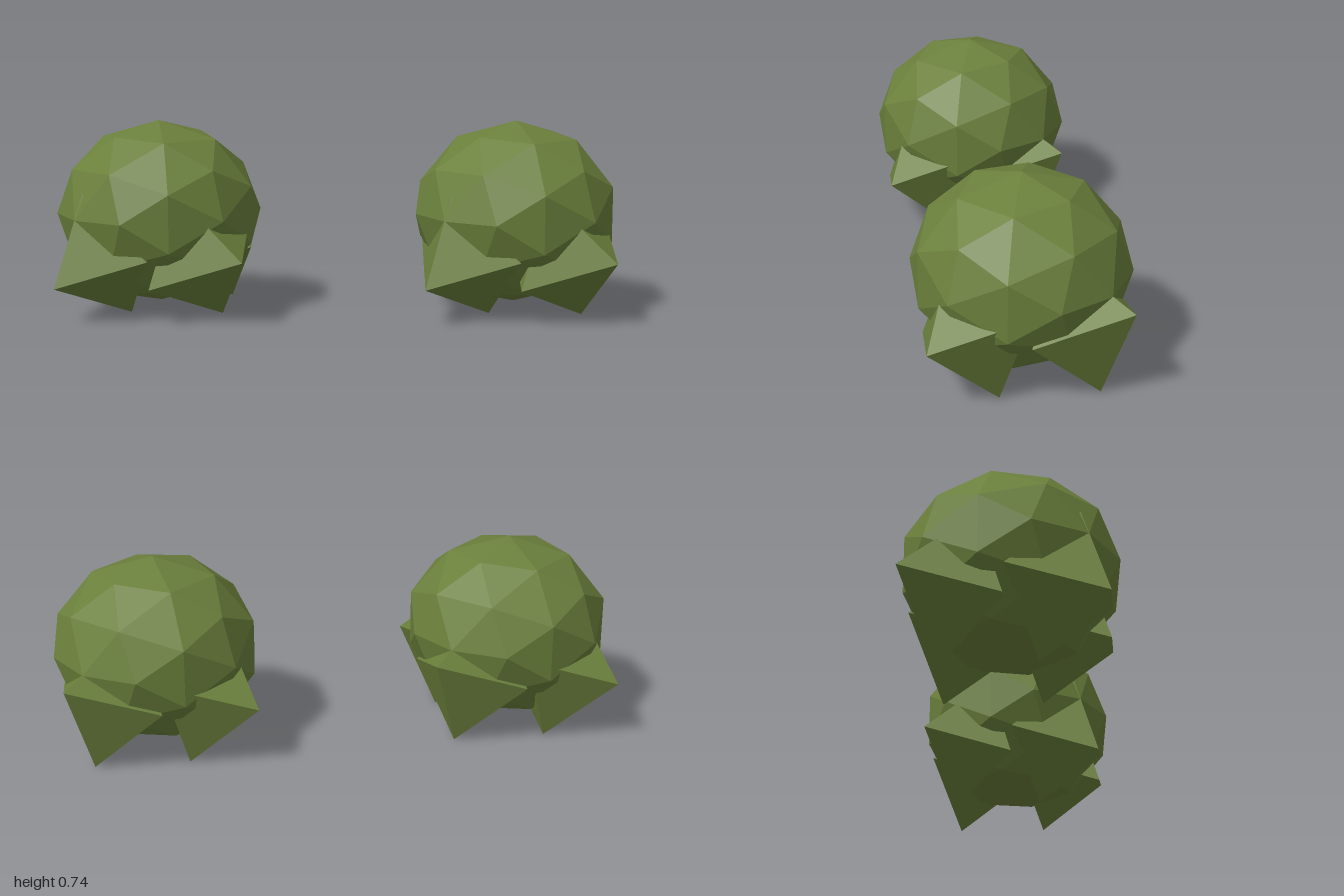
import * as THREE from 'three';

const leafGreen = new THREE.MeshStandardMaterial({ color: 0x6b803c, flatShading: true });
leafGreen.name = 'leafGreen';

// Faceted round crown and the pointed leaf clump used around its base
const crownGeometry = new THREE.IcosahedronGeometry(1, 1).scale(0.395, 0.355, 0.4);
const clumpGeometry = new THREE.OctahedronGeometry(1, 0)
  .rotateZ(THREE.MathUtils.degToRad(23.9))
  .scale(0.265, 0.265, 0.255);

function part(name, geometry, x, y, z) {
  const mesh = new THREE.Mesh(geometry, leafGreen);
  mesh.name = name;
  mesh.position.set(x, y, z);
  return mesh;
}

function createBush(name, x, z) {
  const bush = new THREE.Group();
  bush.name = name;
  bush.position.set(x, 0, z);
  bush.add(part('crown', crownGeometry, 0, 0.385, 0));
  // Four leaf clumps, all leaning the same way
  for (const s of [1, -1]) {
    bush.add(part(s > 0 ? 'leftClump' : 'rightClump', clumpGeometry, s * 0.25, 0.242, 0));
    bush.add(part(s > 0 ? 'frontClump' : 'backClump', clumpGeometry, 0, 0.242, s * 0.254));
  }
  return bush;
}

export function createModel() {
  const model = new THREE.Group();
  model.name = 'bushPair';
  model.add(createBush('frontLeftBush', 0.507, 0.474));
  model.add(createBush('backRightBush', -0.507, -0.474));
  return model;
}
